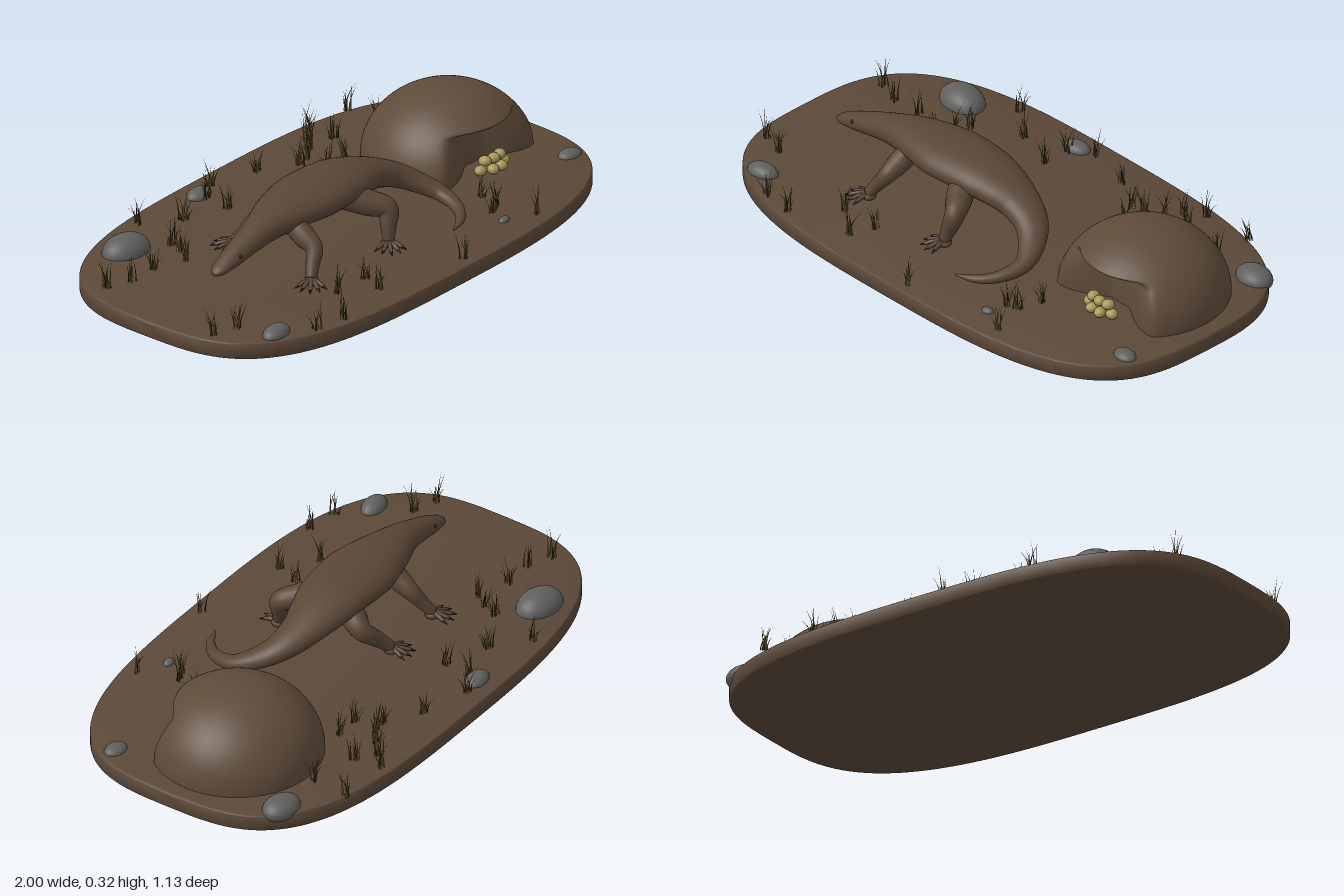
import * as THREE from 'three';
import { mergeGeometries, mergeVertices, toCreasedNormals } from 'three/addons/utils/BufferGeometryUtils.js';

const mat = (name, color, side = THREE.FrontSide) => {
  const m = new THREE.MeshStandardMaterial({ color, side });
  m.name = name;
  return m;
};
const V = (x, y, z) => new THREE.Vector3(x, y, z);
const GROUND = 0.062;

// Small seeded random generator
function seeded(seed) {
  return () => {
    seed = (seed * 16807) % 2147483647;
    return seed / 2147483647;
  };
}

// Smooth tube with elliptical sections; stations are [x, y, z, halfWidth, halfHeight]
function loft(stations, steps, sides, ref) {
  const path = new THREE.CatmullRomCurve3(stations.map(s => V(s[0], s[1], s[2])));
  const size = new THREE.CatmullRomCurve3(stations.map(s => V(s[3], s[4], 0)));
  const pos = [], idx = [];
  for (let i = 0; i <= steps; i++) {
    const c = path.getPoint(i / steps), r = size.getPoint(i / steps), T = path.getTangent(i / steps);
    const S = ref.clone().cross(T).normalize(), U = T.clone().cross(S);
    for (let j = 0; j < sides; j++) {
      const a = (j / sides) * Math.PI * 2;
      const p = c.clone().addScaledVector(S, Math.cos(a) * r.x).addScaledVector(U, Math.sin(a) * r.y);
      pos.push(p.x, p.y, p.z);
      if (i < steps) {
        const k = i * sides + j, n = i * sides + (j + 1) % sides;
        idx.push(k, n, k + sides, n, n + sides, k + sides);
      }
    }
  }
  const last = steps * sides;
  for (let j = 1; j < sides - 1; j++) idx.push(0, j + 1, j, last, last + j, last + j + 1);
  const g = new THREE.BufferGeometry();
  g.setAttribute('position', new THREE.Float32BufferAttribute(pos, 3));
  g.setIndex(idx);
  g.computeVertexNormals();
  return g;
}

// Rounded oblong ground slab
function baseGeometry() {
  const pts = [], pow = v => Math.sign(v) * Math.abs(v) ** (2 / 3.2);
  for (let i = 0; i < 128; i++) {
    const a = (i / 128) * Math.PI * 2;
    pts.push(new THREE.Vector2(0.99 * pow(Math.cos(a)), 0.556 * pow(Math.sin(a))));
  }
  const g = new THREE.ExtrudeGeometry(new THREE.Shape(pts), {
    depth: GROUND - 0.02, bevelThickness: 0.01, bevelSize: 0.01, bevelSegments: 4 });
  g.rotateX(-Math.PI / 2).translate(0, 0.01, 0);
  return toCreasedNormals(g, 0.6);
}

// Dome with a hollow scooped out beneath an overhanging front lip
function moundGeometry() {
  const profile = [];
  for (let i = 0; i <= 64; i++) {
    const a = (i / 64) * Math.PI / 2;
    profile.push(new THREE.Vector2(0.3 * Math.cos(a), 0.253 * Math.sin(a)));
  }
  let g = new THREE.LatheGeometry(profile, 96, Math.PI);
  const p = g.attributes.position;
  for (let i = 0; i < p.count; i++) {
    const x = p.getX(i), y = p.getY(i), z = p.getZ(i), r = Math.hypot(x, z) || 1;
    const facing = THREE.MathUtils.smoothstep(z / r, 0.58, 0.98);
    const low = 1 - THREE.MathUtils.smoothstep(y, 0.145, 0.175);
    const k = 1 - 0.62 * facing * low;
    p.setXYZ(i, x * k, y, z * k);
  }
  g.deleteAttribute('uv');
  g.deleteAttribute('normal');
  g = mergeVertices(g, 1e-5);
  g.computeVertexNormals();
  return g;
}

export function createModel() {
  const model = new THREE.Group();
  const soil = mat('soil', 0x5b4838), clay = mat('mound clay', 0x5f4b3a), skin = mat('lizard skin', 0x5a4636);
  const claw = mat('claw', 0x1f1b17), stone = mat('stone', 0x5f5f5d), shell = mat('egg shell', 0xa8965a);
  const dry = mat('dry grass', 0x8f7a42), dark = mat('dark grass', 0x453a20);
  const add = (name, geo, m, parent = model) => {
    const mesh = new THREE.Mesh(geo, m);
    mesh.name = name;
    parent.add(mesh);
    return mesh;
  };

  add('base', baseGeometry(), soil);
  add('nestMound', moundGeometry(), clay).position.set(0.64, GROUND, -0.04);

  // Lizard body from snout to curled tail tip
  const lizard = new THREE.Group();
  lizard.name = 'lizard';
  model.add(lizard);
  const up = V(0, 1, 0), side = V(1, 0, 0);
  add('body', loft([
    [-0.74, 0.166, 0.08, 0.012, 0.008], [-0.72, 0.172, 0.08, 0.028, 0.017], [-0.65, 0.192, 0.078, 0.04, 0.032],
    [-0.57, 0.215, 0.075, 0.049, 0.041], [-0.48, 0.237, 0.07, 0.064, 0.05], [-0.36, 0.252, 0.06, 0.1, 0.06],
    [-0.2, 0.256, 0.055, 0.132, 0.066], [-0.05, 0.253, 0.053, 0.122, 0.063], [0.05, 0.236, 0.05, 0.1, 0.056],
    [0.13, 0.213, 0.055, 0.077, 0.049], [0.21, 0.183, 0.08, 0.06, 0.042], [0.27, 0.148, 0.135, 0.047, 0.034],
    [0.305, 0.117, 0.21, 0.033, 0.027], [0.285, 0.1, 0.3, 0.023, 0.02], [0.23, 0.092, 0.36, 0.016, 0.014],
    [0.16, 0.09, 0.39, 0.003, 0.003]], 120, 32, up), skin, lizard);
  for (const s of [-1, 1])
    add('eye', new THREE.SphereGeometry(0.007, 12, 8), claw, lizard).position.set(-0.64, 0.208, 0.078 + s * 0.036);

  // Legs: root, joint, ankle, heading of the toes and thickness
  const legs = [
    ['frontLeftLeg', [-0.355, 0.225, 0.11], [-0.365, 0.165, 0.21], [-0.42, 0.082, 0.245], 2.5, 0.85],
    ['frontRightLeg', [-0.33, 0.225, 0.02], [-0.33, 0.165, -0.08], [-0.37, 0.082, -0.14], -2.3, 0.85],
    ['backLeftLeg', [-0.09, 0.23, 0.11], [-0.005, 0.185, 0.235], [-0.03, 0.082, 0.26], 2.3, 1],
    ['backRightLeg', [-0.07, 0.23, 0.01], [-0.035, 0.175, -0.08], [-0.12, 0.082, -0.145], -2.2, 1]];
  for (const [name, root, joint, ankle, heading, k] of legs) {
    const leg = new THREE.Group();
    leg.name = name;
    lizard.add(leg);
    const mid = (a, b, t) => a.map((v, i) => v + (b[i] - v) * t);
    add('limb', loft([
      [...root, 0.05 * k, 0.05 * k], [...mid(root, joint, 0.55), 0.046 * k, 0.046 * k],
      [...joint, 0.037 * k, 0.036 * k], [...mid(joint, ankle, 0.55), 0.028 * k, 0.028 * k],
      [...ankle, 0.02, 0.02]], 32, 18, side), skin, leg);
    const foot = add('foot', new THREE.SphereGeometry(0.027, 16, 10), skin, leg);
    foot.scale.set(1, 0.6, 1);
    foot.position.set(ankle[0], 0.074, ankle[2]);
    for (let t = -2; t <= 2; t++) {
      const a = heading + t * 0.45, len = 0.068 - Math.abs(t) * 0.006;
      const at = (d, y, r) => [ankle[0] + Math.cos(a) * d, y, ankle[2] + Math.sin(a) * d, r, r];
      add('toe', loft([at(0.01, 0.078, 0.01), at(len * 0.6, 0.077, 0.008), at(len, 0.07, 0.006)], 8, 8, up), skin, leg);
      add('claw', loft([at(len - 0.003, 0.071, 0.005), at(len + 0.016, 0.065, 0.001)], 3, 6, up), claw, leg);
    }
  }

  // Clutch of eggs in the mound entrance
  const eggs = [[-0.055, 0, 0.155], [-0.018, 0, 0.18], [0.022, 0, 0.182], [0.058, 0, 0.16], [0, 0, 0.145],
    [-0.035, 1, 0.158], [0.003, 1, 0.165], [0.04, 1, 0.16]];
  eggs.forEach(([x, level, z], i) => {
    const egg = add('egg', new THREE.SphereGeometry(0.021, 18, 12), shell);
    egg.scale.set(1.1, 0.85, 1);
    egg.rotation.y = i;
    egg.position.set(0.635 + x, GROUND + 0.017 + level * 0.03, z);
  });

  // Half-buried stones: x, z, half width, half depth, height
  const stones = [[-0.635, -0.4, 0.095, 0.07, 0.06], [-0.155, -0.48, 0.054, 0.037, 0.028],
    [0.843, -0.368, 0.076, 0.057, 0.042], [-0.785, 0.396, 0.061, 0.04, 0.033],
    [0.893, 0.288, 0.046, 0.034, 0.022], [0.37, 0.437, 0.024, 0.017, 0.014]];
  stones.forEach(([x, z, w, d, h], i) => {
    const s = add('stone', new THREE.SphereGeometry(1, 24, 16), stone);
    s.scale.set(w, h, d);
    s.rotation.y = (i % 2 ? 1 : -1) * 0.12;
    s.position.set(x, GROUND, z);
  });

  // Grass tufts of bent, tapering blades
  const rand = seeded(77), blades = { dry: [], dark: [] };
  const tufts = [[-0.45, -0.5], [-0.5, -0.31], [-0.33, -0.4], [-0.17, -0.34], [-0.08, -0.49], [0.11, -0.45],
    [0.46, -0.51], [0.66, -0.51], [0.65, -0.37], [0.47, -0.41], [0.35, -0.42], [0.29, -0.37], [0.24, -0.36],
    [0.29, -0.28], [0.38, -0.28], [0.4, -0.46], [-0.16, -0.45], [-0.89, -0.27], [-0.8, -0.23], [-0.68, -0.24],
    [-0.56, -0.2], [-0.52, -0.25], [-0.93, 0.24], [-0.84, 0.27], [-0.67, 0.48], [-0.55, 0.5], [-0.42, 0.36],
    [-0.27, 0.36], [-0.3, 0.45], [0.06, 0.52], [0.43, 0.35], [0.46, 0.26], [0.39, 0.37], [0.48, 0.5]];
  for (const [x, z] of tufts) {
    for (let b = 0; b < 8; b++) {
      const h = 0.05 + rand() * 0.065, lean = 0.005 + rand() * 0.035;
      const g = new THREE.ConeGeometry(0.0032, h, 4, 4).translate(0, h / 2, 0);
      const p = g.attributes.position;
      for (let i = 0; i < p.count; i++) p.setX(i, p.getX(i) + lean * (p.getY(i) / h) ** 2);
      g.rotateY(rand() * Math.PI * 2);
      g.translate(x + (rand() - 0.5) * 0.025, GROUND - 0.002, z + (rand() - 0.5) * 0.025);
      g.computeVertexNormals();
      blades[b % 2 ? 'dark' : 'dry'].push(g);
    }
  }
  add('dryGrass', mergeGeometries(blades.dry), dry);
  add('darkGrass', mergeGeometries(blades.dark), dark);
  return model;
}
